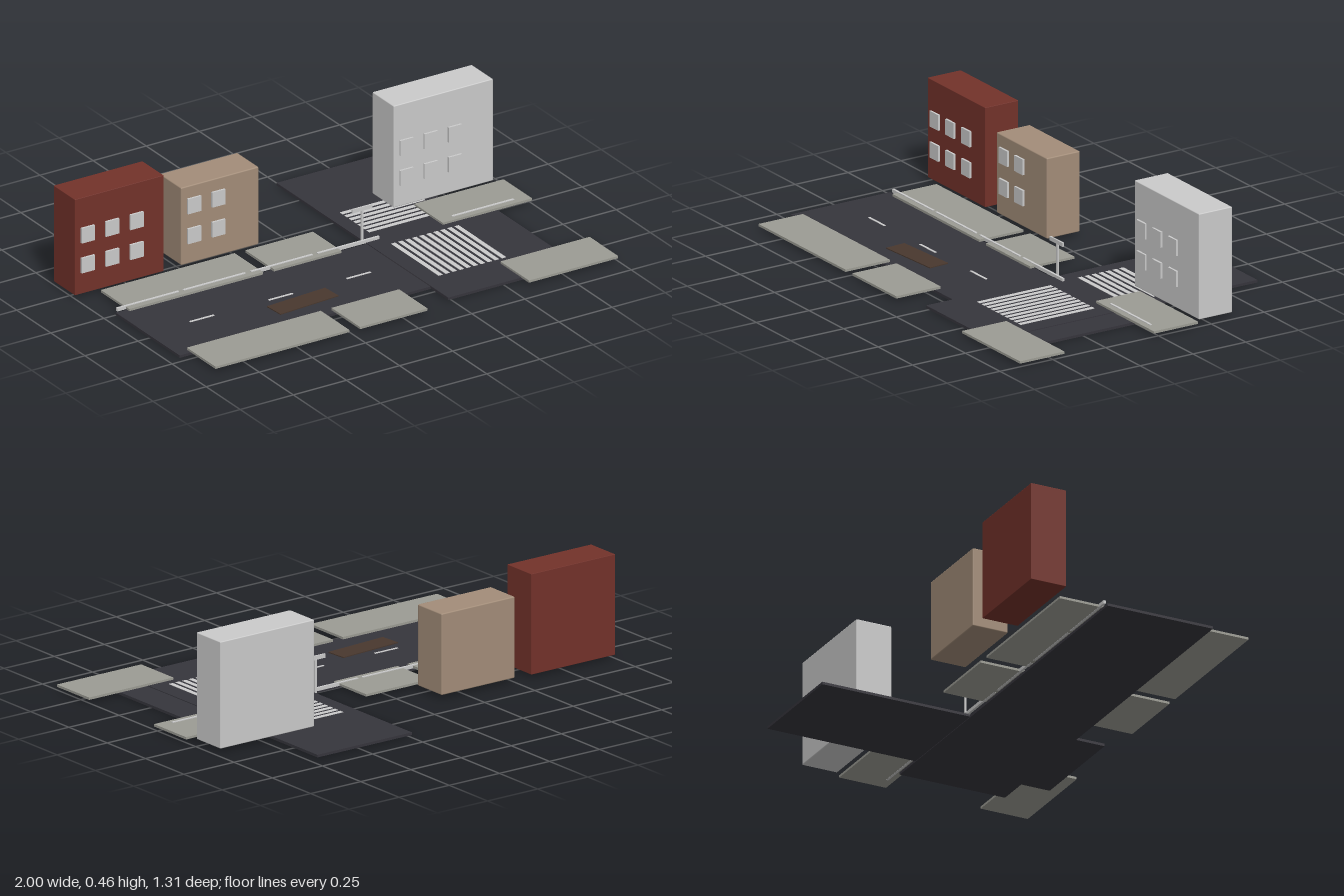
import * as THREE from 'three';
import { RoundedBoxGeometry } from 'three/addons/geometries/RoundedBoxGeometry.js';

const flat = (name, color) => {
  const m = new THREE.MeshStandardMaterial({ color });
  m.name = name;
  return m;
};

export function createModel() {
  const mats = {
    asphalt: flat('asphalt', 0x36353c),
    paving: flat('paving', 0x9c9c94),
    brick: flat('redBrick', 0x73322a),
    tan: flat('tanPlaster', 0xa38d79),
    pale: flat('paleGrey', 0xcbcbcb),
    dirt: flat('brownDirt', 0x49382e),
  };
  const model = new THREE.Group();
  model.name = 'streetBlock';

  // Box given by its extents; an optional radius softens its edges
  const block = (name, mat, [x0, x1], [y0, y1], [z0, z1], radius = 0) => {
    const s = [x1 - x0, y1 - y0, z1 - z0];
    const geo = radius ? new RoundedBoxGeometry(...s, 2, radius) : new THREE.BoxGeometry(...s);
    const mesh = new THREE.Mesh(geo, mat);
    mesh.name = name;
    mesh.position.set((x0 + x1) / 2, (y0 + y1) / 2, (z0 + z1) / 2);
    model.add(mesh);
    return mesh;
  };

  // Crossing roads
  block('mainRoad', mats.asphalt, [-0.945, 0.84], [0, 0.011], [0, 0.47]);
  block('sideRoad', mats.asphalt, [0.235, 0.706], [0.003, 0.014], [-0.66, 0.6]);

  // Pavement slabs on both sides
  for (const x of [[-0.895, -0.265], [-0.215, 0.103], [0.58, 1]]) {
    for (const z of [[-0.187, 0.022], [0.445, 0.655]]) {
      block('pavement', mats.paving, x, [0.013, 0.023], z);
    }
  }

  // Zebra crossings
  for (let i = 0; i < 10; i++) {
    const x = 0.312 + i * 0.0331;
    block('crossingStripe', mats.pale, [x, x + 0.02], [0.013, 0.0155], [0.06, 0.41]);
  }
  for (let i = 0; i < 7; i++) {
    const z = -0.293 + i * 0.0328;
    block('crossingStripe', mats.pale, [0.297, 0.645], [0.013, 0.0155], [z, z + 0.02]);
  }

  // Dashed centre line
  for (const x of [-0.687, -0.317, 0.05]) {
    block('laneDash', mats.pale, [x - 0.057, x + 0.057], [0.01, 0.013], [0.226, 0.236]);
  }

  // Low kerb rails
  for (const x of [-0.935, -0.622, -0.305, 0.008, 0.642]) {
    block('kerbRail', mats.pale, [x, x + 0.291], [0.012, 0.026], [-0.013, -0.003]);
  }

  // Slightly turned dirt patch
  const patch = block('dirtPatch', mats.dirt, [-0.41, -0.123], [0.01, 0.015], [0.27, 0.36]);
  patch.rotation.y = 0.07;

  // Buildings with two rows of raised windows
  const building = (name, mat, x, y, radius, windows) => {
    block(name, mat, x, y, [-0.37, -0.213], radius);
    for (const cx of windows) {
      for (const cy of [0.141, 0.272]) {
        block('window', mats.pale, [cx - 0.031, cx + 0.031],
          [cy - 0.033, cy + 0.033], [-0.2135, -0.204]);
      }
    }
  };
  building('redBuilding', mats.brick, [-1, -0.582], [0.015, 0.435], 0.002, [-0.942, -0.828, -0.713]);
  building('tanBuilding', mats.tan, [-0.5, -0.135], [0.018, 0.358], 0.005, [-0.442, -0.328]);
  building('greyBuilding', mats.pale, [0.5, 0.968], [0.015, 0.461], 0.004, [0.557, 0.671, 0.729 + 0.056]);

  // Street sign
  block('signPost', mats.pale, [0.226, 0.235], [0.012, 0.152], [-0.028, -0.021]);
  block('signPlate', mats.pale, [0.182, 0.275], [0.149, 0.166], [-0.026, -0.019]);

  return model;
}
